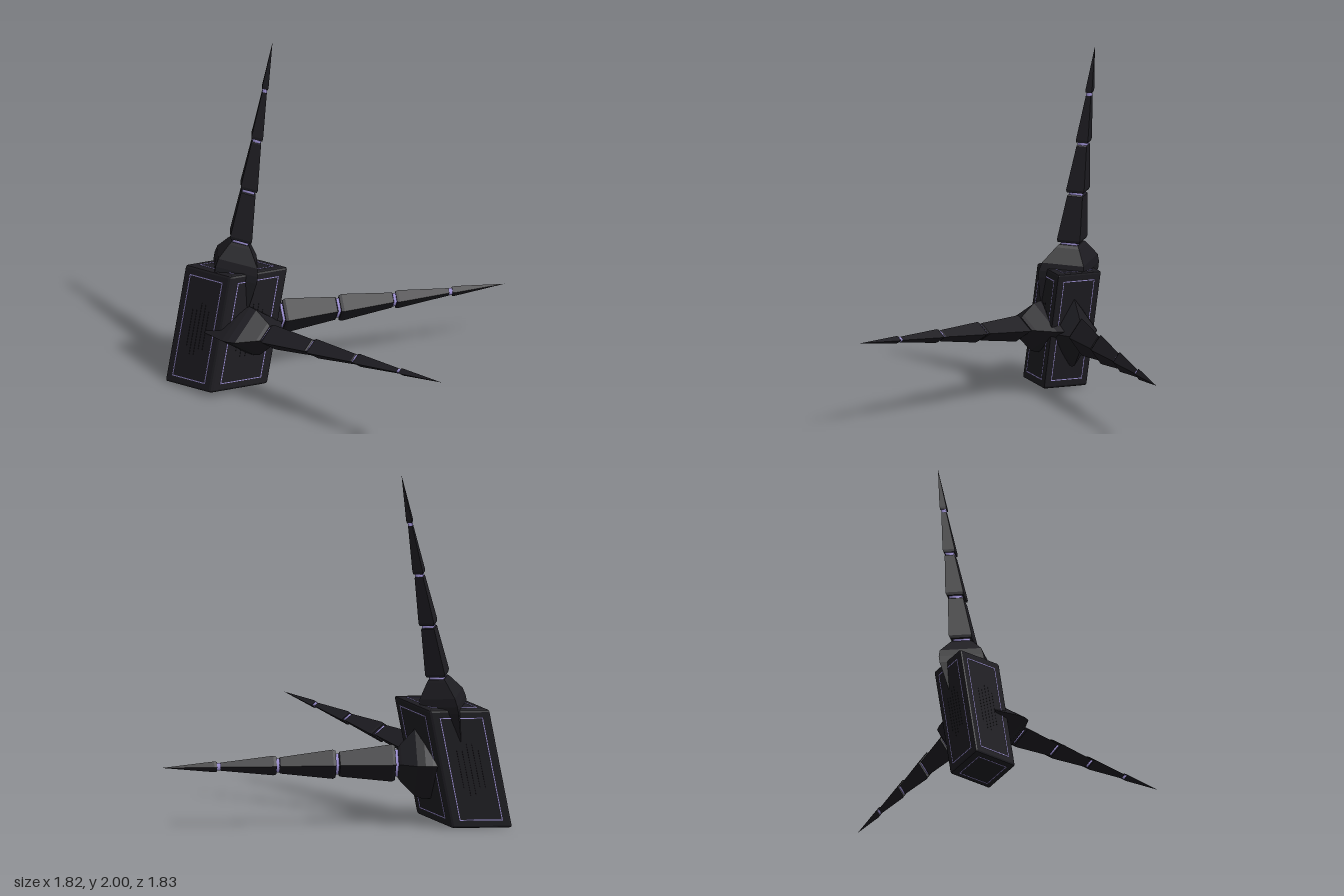
import * as THREE from 'three';
import { RoundedBoxGeometry } from 'three/addons/geometries/RoundedBoxGeometry.js';

const dark = new THREE.MeshStandardMaterial({ color: 0x1d1c21, flatShading: true });
const groove = new THREE.MeshStandardMaterial({ color: 0x131217 });
const glow = new THREE.MeshStandardMaterial({ color: 0xa79ae0 });

const CENTRE = new THREE.Vector3(-0.695, 0.36, 0.645);
const SIZE = [0.35, 0.675, 0.34];

// Slightly skewed frame of the core block: width, height and depth axes
const skew = new THREE.Matrix4().makeBasis(
  new THREE.Vector3(0.34, 0.035, -0.065).divideScalar(SIZE[0]),
  new THREE.Vector3(0, 0.675, -0.14).divideScalar(SIZE[1]),
  new THREE.Vector3(-0.09, -0.005, 0.33).divideScalar(SIZE[2]),
);

function add(parent, name, geometry, material) {
  const mesh = new THREE.Mesh(geometry, material);
  mesh.name = name;
  parent.add(mesh);
}

// Thin rectangular outline lying in the xy plane
function frameGeometry(w, h) {
  const rect = (target, x, y) => {
    target.moveTo(-x, -y).lineTo(x, -y).lineTo(x, y).lineTo(-x, y).closePath();
    return target;
  };
  const shape = rect(new THREE.Shape(), w / 2, h / 2);
  shape.holes.push(rect(new THREE.Path(), w / 2 - 0.005, h / 2 - 0.005));
  return new THREE.ExtrudeGeometry(shape, { depth: 0.003, bevelEnabled: false });
}

// Leaning block with an inlaid outline on every face
function createCore() {
  const core = new THREE.Group();
  core.name = 'core';
  core.position.copy(CENTRE);
  const [w, h, d] = SIZE;
  add(core, 'block', new RoundedBoxGeometry(w, h, d, 1, 0.014).applyMatrix4(skew), dark);
  const faces = [
    [w, h, d / 2, 0, 0], [w, h, d / 2, 0, Math.PI],
    [d, h, w / 2, 0, Math.PI / 2], [d, h, w / 2, 0, -Math.PI / 2],
    [w, d, h / 2, Math.PI / 2, 0], [w, d, h / 2, -Math.PI / 2, 0],
  ];
  for (const [fw, fh, out, rx, ry] of faces) {
    const place = new THREE.Matrix4()
      .makeRotationFromEuler(new THREE.Euler(rx, ry, 0))
      .multiply(new THREE.Matrix4().makeTranslation(0, 0, out - 0.001));
    const toFace = skew.clone().multiply(place);
    add(core, 'faceOutline', frameGeometry(fw - 0.1, fh - 0.09).applyMatrix4(toFace), glow);
    // Fine vertical scoring on the tall faces
    if (rx !== 0) continue;
    for (let i = -2; i <= 2; i++) {
      const strip = new THREE.BoxGeometry(0.002, 0.3 - 0.04 * Math.abs(i), 0.003);
      strip.translate(i * 0.03, 0.02 * (i % 2), 0.001);
      add(core, 'scoreLine', strip.applyMatrix4(toFace), groove);
    }
  }
  return core;
}

// Four-sided solid from [radius, height] pairs, flattened to a diamond section
function diamond(profile) {
  const points = profile.map(([r, y]) => new THREE.Vector2(r, y));
  return new THREE.LatheGeometry(points, 4).scale(1, 1, 0.7);
}

// Collar plus four tapering segments, growing along local +y
function createSpike(name, direction, wide, start, length) {
  const spike = new THREE.Group();
  spike.name = name;
  const dir = new THREE.Vector3(...direction).normalize();
  const narrow = new THREE.Vector3(...wide).cross(dir).normalize();
  const side = dir.clone().cross(narrow);
  spike.quaternion.setFromRotationMatrix(new THREE.Matrix4().makeBasis(side, dir, narrow));
  spike.position.copy(CENTRE).addScaledVector(dir, start);

  const top = 0.15;
  add(spike, 'collar', diamond([
    [0, -0.2], [0.165, -0.2], [0.205, -0.03], [0.205, 0.01], [0.19, 0.055],
    [0.105, top - 0.015], [0.085, top], [0, top],
  ]), dark);

  const base = [0.105, 0.082, 0.055, 0.03];
  const end = [0.07, 0.046, 0.023, 0];
  const gap = 0.016;
  for (let i = 0; i < 4; i++) {
    const y = top + i * length;
    const r = base[i];
    // Bright joint filling the gap below each segment
    add(spike, 'joint', diamond([[r * 0.72, y - 0.005], [r * 0.72, y + gap + 0.004]]), glow);
    add(spike, 'segment', diamond([
      [0, y + gap], [r * 0.92, y + gap], [r, y + gap + 0.016],
      [end[i], y + length - 0.006], [end[i] * 0.85, y + length], [0, y + length],
    ]), dark);
  }
  return spike;
}

export function createModel() {
  const model = new THREE.Group();
  model.name = 'spikedBlock';
  model.add(
    createCore(),
    createSpike('upperSpike', [0, 1.64, -0.315], [1, 0, 0], 0.34, 0.295),
    createSpike('leftSpike', [1.6, 0.16, -0.315], [0.19, 0, 0.98], 0.185, 0.327),
    createSpike('backSpike', [0.475, 0, -1.565], [0, 1, 0], 0.16, 0.331),
  );
  return model;
}
